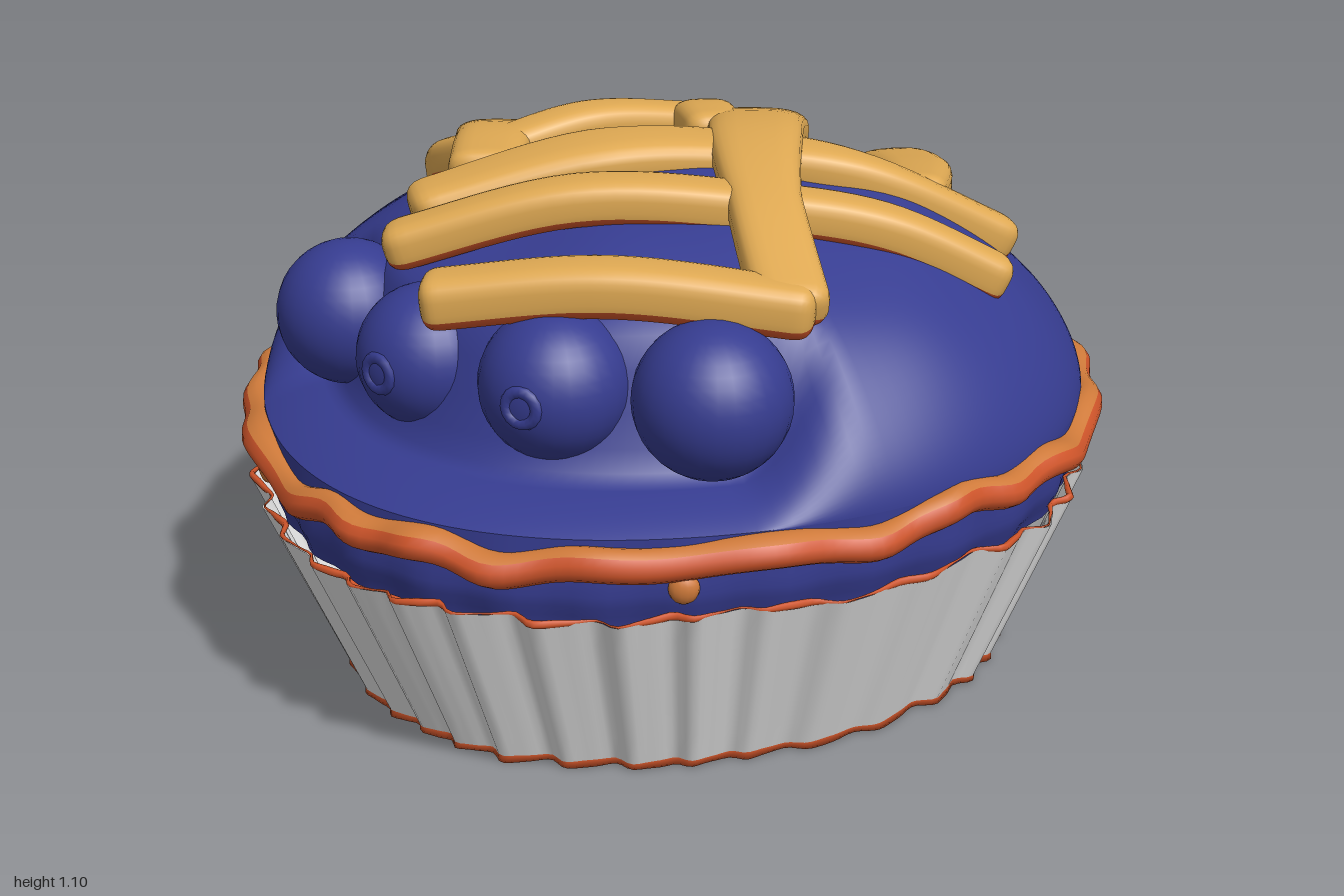
import * as THREE from 'three';
import { mergeVertices } from 'three/addons/utils/BufferGeometryUtils.js';

const { sin, cos, PI, abs, sign, hypot, min, max } = Math;
const mix = THREE.MathUtils.lerp;
const smooth = (x, a, b) => THREE.MathUtils.smoothstep(x, a, b);

const material = (name, color) => {
  const m = new THREE.MeshStandardMaterial({ color, side: THREE.DoubleSide });
  m.name = name;
  return m;
};

// Smooth surface through f(u, v); it faces along du x dv
function sheet(nu, nv, f) {
  const pos = [], index = [];
  for (let j = 0; j <= nv; j++)
    for (let i = 0; i <= nu; i++) pos.push(...f(i / nu, j / nv));
  for (let j = 0; j < nv; j++)
    for (let i = 0; i < nu; i++) {
      const a = j * (nu + 1) + i, d = a + nu + 1;
      index.push(a, a + 1, d + 1, a, d + 1, d);
    }
  let g = new THREE.BufferGeometry();
  g.setAttribute('position', new THREE.Float32BufferAttribute(pos, 3));
  g.setIndex(index);
  g = mergeVertices(g, 1e-5);
  g.computeVertexNormals();
  return g;
}

// Slightly squared oval outline, dented at the back right
const dent = (a) => 1 - 0.035 * sin(2 * a) ** 2 - 0.06 * Math.exp(-(((a - 3.96) / 0.35) ** 2));
const oval = (a, rx, rz, y) => [sin(a) * rx * dent(a), y, cos(a) * rz * dent(a)];

// Height of the domed filling
const RX = 0.875, RZ = 0.94;
function crown(x, z) {
  const r = min(1, hypot(x / RX, z / RZ));
  return 0.56 + 0.47 * (1 - r ** 2.2) ** 0.61 - 0.055 * smooth(-z, 0.2, 0.6) * (1 - r ** 4);
}

// Pleats of the tin
const pleat = (a) => {
  const p = 38 * a + 1.5 * sin(3 * a) + 0.9 * sin(7 * a + 1);
  return 1 + (0.014 + 0.004 * sin(5 * a)) * sin(p + 0.6 * sin(p)) + 0.005 * sin(13 * a);
};

export function createModel() {
  const model = new THREE.Group();
  const silver = material('silver foil', 0xe6e6e6);
  const berryBlue = material('berry blue', 0x363c90);
  const pastry = material('golden pastry', 0xdfa953);
  const baked = material('baked orange', 0xd0552a);
  const toasted = material('toasted crust', 0xcf7a3a);

  const add = (name, geometry, mat, parent = model) => {
    const mesh = new THREE.Mesh(geometry, mat);
    mesh.name = name;
    parent.add(mesh);
    return mesh;
  };

  // Fluted tin wall
  add('tin', sheet(360, 6, (u, v) => {
    const a = u * 2 * PI, k = pleat(a);
    return oval(a, mix(0.725, 0.88, v) * k, mix(0.795, 0.98, v) * k, mix(0.012, 0.405 + 0.006 * sin(11 * a), v));
  }), silver);

  // Crust showing under the tin
  add('base', sheet(360, 10, (u, v) => {
    const a = u * 2 * PI, r = min(1, v / 0.9), k = mix(1, pleat(a), r);
    const y = v > 0.95 ? 0.016 : 0.008 * (1 - r) + 0.004 * r * (1 + sin(29 * a)) / 2;
    return oval(a, 0.727 * r * k, 0.797 * r * k, y);
  }), baked);

  // Thin crust edge along the top of the tin
  add('tinEdge', sheet(360, 6, (u, v) => {
    const a = u * 2 * PI, t = v * 2 * PI, k = pleat(a);
    const w = 0.005 + 0.003 * sin(23 * a);
    const o = cos(t) * w - 0.005;
    return oval(a, 0.88 * k + o, 0.98 * k + o, 0.405 + 0.006 * sin(11 * a) + sin(t) * w);
  }), baked);

  // Filling between tin and rim, tucked inside the tin at its foot
  add('fillingSide', sheet(160, 8, (u, v) => {
    const a = u * 2 * PI, o = 0.007 * sin(31 * a) * (1 - v) - 0.022 * (1 - smooth(v, 0, 0.35));
    return oval(a, RX - 0.008 * (1 - v) + o, RZ + 0.012 * (1 - v) + o, mix(0.375, 0.56, v));
  }), berryBlue);

  // Domed filling with a ledge at the front
  add('fillingDome', sheet(160, 40, (u, v) => {
    const a = u * 2 * PI, r = 1 - v * v;
    const x = sin(a) * RX * r, z = cos(a) * RZ * r;
    const ledge = smooth(r, 0.71, 0.84) * smooth(cos(a), 0.48, 0.72);
    const lumps = (0.012 * sin(7 * x + 2) * sin(8 * z + 1) + 0.006 * sin(15 * x) * sin(13 * z + 2)) * (1 - r ** 6);
    return oval(a, RX * r, RZ * r, mix(crown(x, z) + lumps, mix(0.62, 0.56, r ** 8), ledge));
  }), berryBlue);

  // Wavy rim: orange outside, toasted top
  const rim = (from, to) => sheet(240, 8, (u, v) => {
    const a = u * 2 * PI, t = mix(from, to, v);
    const w = 0.04 + 0.006 * sin(8 * a + 1);
    const o = cos(t) * w + 0.007 * sin(27 * a + 2 * sin(5 * a));
    const y = 0.51 + 0.02 * sin(a) ** 4 + 0.01 * sin(17 * a + sin(4 * a)) + 0.008 * sin(9 * a + 2);
    return oval(a, 0.878 + o, 0.95 + o, y + sin(t) * 0.034);
  });
  add('rimOutside', rim(-PI, PI * 0.25), baked);
  add('rimTop', rim(PI * 0.25, PI), toasted);

  // Small drips of crust under the rim
  [[-0.72, 0.08], [0.63, 0.045]].forEach(([a, h]) => {
    const drip = add('crustDrip', new THREE.SphereGeometry(1, 14, 10), toasted);
    drip.position.set(...oval(a, 0.875, 0.95, 0.46));
    drip.scale.set(0.03, h * 0.7, 0.02);
    drip.rotation.y = a;
  });

  // Berries half sunk in the front, with dimpled crowns on the middle pair
  const berries = [[-0.44, 0.76, 0.54, 0.15], [-0.16, 0.755, 0.64, 0.145], [0.15, 0.765, 0.65, 0.15], [0.44, 0.76, 0.55, 0.155]];
  berries.forEach(([x, y, z, r], i) => {
    const g = new THREE.Group();
    g.name = 'berry';
    g.position.set(x, y, z);
    g.rotation.y = x * 0.9;
    add('berryBody', new THREE.SphereGeometry(r, 28, 20), berryBlue, g);
    if (i === 1 || i === 2)
      add('berryCrown', new THREE.TorusGeometry(0.032, 0.014, 8, 16), berryBlue, g).position.z = r - 0.012;
    model.add(g);
  });

  // Pastry strip along points [x, z, lift above the dome, half width]
  function strip(name, points, t = 0.048, topMat = pastry) {
    const curve = new THREE.CatmullRomCurve3(points.map(([x, z, lift]) => new THREE.Vector3(x, crown(x, z) + lift, z)));
    const length = curve.getLength(), up = new THREE.Vector3(0, 1, 0);
    const section = (from, to, nv) => sheet(48, nv, (s, v) => {
      const u = (1 - cos(s * PI)) / 2;
      const p = curve.getPoint(u), T = curve.getTangent(u);
      const S = T.clone().cross(up).normalize(), N = S.clone().cross(T);
      const f = u * (points.length - 1), i = min(points.length - 2, Math.floor(f));
      const k = min(1, (min(u, 1 - u) * length) / 0.045);
      const cap = max(0, 1 - (1 - k) ** 3) ** (1 / 3);
      const a = mix(from, to, v), c = cos(a), d = sin(a);
      p.addScaledVector(S, sign(c) * abs(c) ** 0.65 * mix(points[i][3], points[i + 1][3], f - i) * cap);
      p.addScaledVector(N, sign(d) * abs(d) ** 0.65 * t * cap);
      return p.toArray();
    });
    const g = new THREE.Group();
    g.name = name;
    add('stripTop', section(-0.12 * PI, 1.12 * PI, 16), topMat, g);
    add('stripUnderside', section(1.12 * PI, 1.88 * PI, 8), baked, g);
    model.add(g);
  }

  strip('longStrip', [[-0.14, -0.63, 0.005, 0.06], [-0.04, -0.42, 0.02, 0.11], [0.14, -0.1, 0.025, 0.1], [0.33, 0.18, 0.035, 0.075], [0.55, 0.44, 0.08, 0.075]]);
  strip('longStripFork', [[-0.3, -0.45, 0.005, 0.045], [-0.2, -0.41, 0.015, 0.06], [-0.11, -0.3, 0.015, 0.07], [0, -0.17, 0, 0.06]]);
  strip('shortCrossStrip', [[-0.43, 0.09, 0.005, 0.055], [-0.3, -0.13, 0.015, 0.06], [-0.15, -0.35, 0.01, 0.055]]);
  strip('backCrossStrip', [[-0.37, 0.42, 0.03, 0.075], [-0.1, 0.14, 0.015, 0.1], [0.12, -0.06, 0, 0.085], [0.33, -0.18, 0.005, 0.06], [0.58, -0.43, 0.015, 0.05]]);
  strip('middleCrossStrip', [[-0.32, 0.57, 0.045, 0.06], [0, 0.36, 0.03, 0.065], [0.28, 0.17, 0.01, 0.06], [0.5, 0, 0.015, 0.06], [0.7, -0.16, 0.02, 0.05]]);
  strip('frontCrossStrip', [[-0.09, 0.75, 0.095, 0.068], [0.22, 0.58, 0.05, 0.068], [0.57, 0.39, 0.07, 0.06]], 0.054);
  strip('rightStrip', [[-0.5, -0.69, 0.025, 0.045], [-0.58, -0.42, 0.02, 0.095], [-0.57, -0.2, 0.02, 0.105], [-0.44, 0.03, 0.02, 0.085], [-0.31, 0.24, 0.01, 0.08]]);
  strip('rightStripEnd', [[-0.68, -0.1, 0.015, 0.045], [-0.59, -0.03, 0.015, 0.06], [-0.46, 0.04, 0.01, 0.05]]);
  strip('leftBackStrip', [[-0.06, -0.87, 0.015, 0.04], [0.13, -0.72, 0.025, 0.08], [0.29, -0.53, 0.02, 0.085], [0.43, -0.27, -0.005, 0.065]]);
  // Browned loop hanging over the back rim
  strip('backLoop', [[-0.52, -0.62, 0.005, 0.05], [-0.46, -0.79, 0.02, 0.075], [-0.27, -0.93, 0.005, 0.06], [-0.1, -0.89, 0.025, 0.055], [0.03, -0.81, 0.02, 0.05]], 0.052, baked);

  return model;
}
